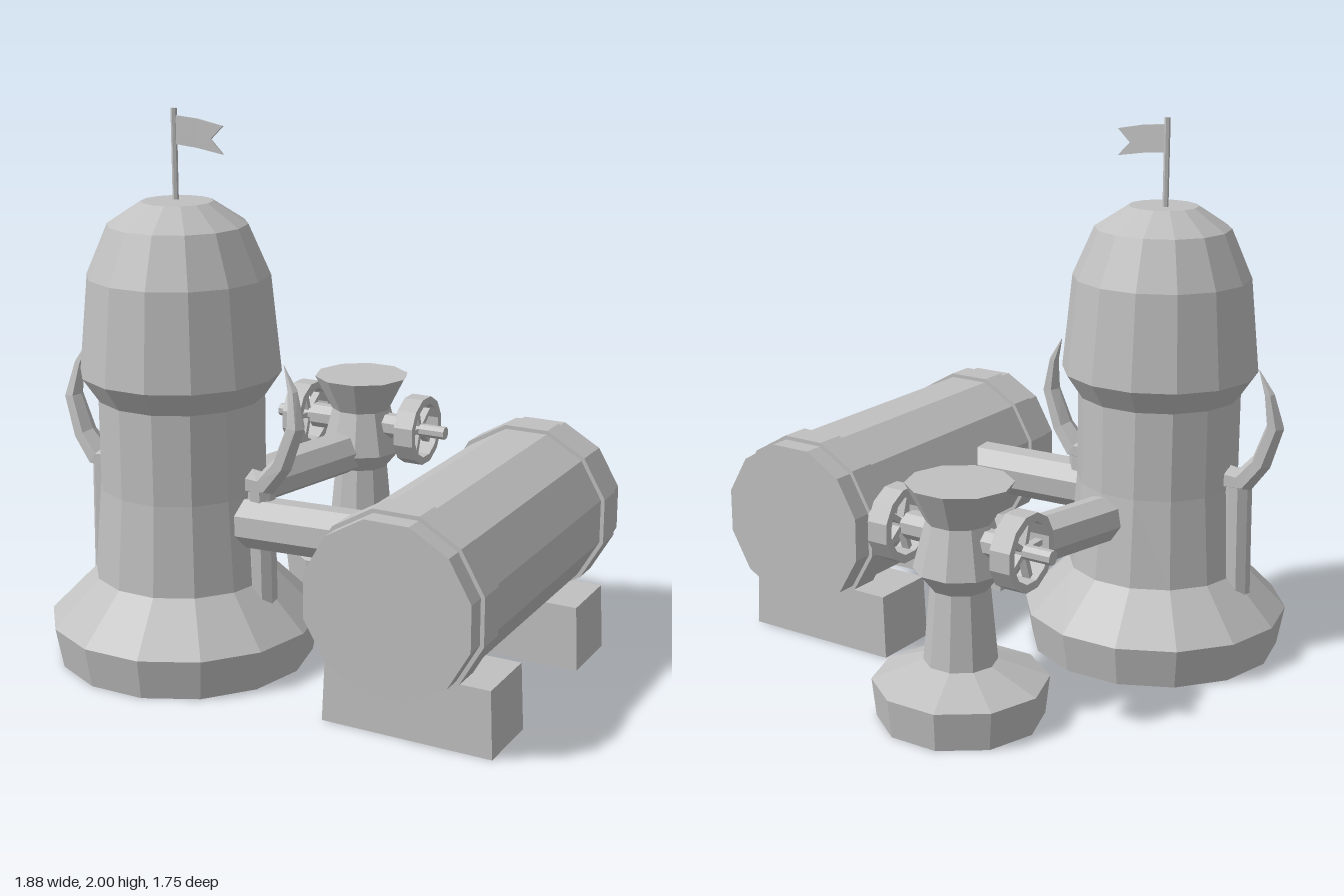
import * as THREE from 'three';

const grey = new THREE.MeshStandardMaterial({ color: 0xc0c0c0, flatShading: true, side: THREE.DoubleSide });
grey.name = 'plain grey';

function add(parent, name, geometry, x = 0, y = 0, z = 0) {
  const mesh = new THREE.Mesh(geometry, grey);
  mesh.name = name;
  mesh.position.set(x, y, z);
  parent.add(mesh);
  return mesh;
}

// Faceted turned shape with a flat side towards +z
function turned(points, sides) {
  const g = new THREE.LatheGeometry(points.map(([r, y]) => new THREE.Vector2(r, y)), sides);
  return g.rotateY(Math.PI / sides);
}

// Straight faceted pipe between two points
function pipe(parent, name, a, b, radius, sides) {
  const p = new THREE.Vector3(...a), q = new THREE.Vector3(...b);
  const dir = q.clone().sub(p);
  const g = new THREE.CylinderGeometry(radius, radius, dir.length(), sides, 1, false, Math.PI / sides);
  const mesh = add(parent, name, g);
  mesh.position.copy(p.add(q).multiplyScalar(0.5));
  mesh.quaternion.setFromUnitVectors(new THREE.Vector3(0, 1, 0), dir.normalize());
  return mesh;
}

// Curved horn lofted through hexagonal sections: [out, y, z, half width, half depth]
function hornGeometry(side) {
  const rows = [
    [0.30, 0.70, 0.395, 0.045, 0.06],
    [0.36, 0.70, 0.395, 0.045, 0.06],
    [0.425, 0.78, 0.395, 0.038, 0.05],
    [0.475, 0.92, 0.39, 0.034, 0.038],
    [0.455, 1.04, 0.375, 0.02, 0.02],
    [0.415, 1.13, 0.365, 0.001, 0.001],
  ];
  const n = 6, pos = [], index = [];
  rows.forEach(([u, y, z, w, d], i) => {
    const a = rows[Math.max(i - 1, 0)], b = rows[Math.min(i + 1, rows.length - 1)];
    const tu = b[0] - a[0], ty = b[1] - a[1], l = Math.hypot(tu, ty);
    for (let k = 0; k < n; k++) {
      const t = (k / n) * Math.PI * 2, c = Math.cos(t) * w;
      pos.push(side * (u + (c * ty) / l), y - (c * tu) / l, z + Math.sin(t) * d);
      if (i) {
        const k2 = (k + 1) % n, p = (i - 1) * n, q = i * n;
        if (side > 0) index.push(p + k, q + k, p + k2, p + k2, q + k, q + k2);
        else index.push(p + k, p + k2, q + k, p + k2, q + k2, q + k);
      }
    }
  });
  const g = new THREE.BufferGeometry();
  g.setAttribute('position', new THREE.Float32BufferAttribute(pos, 3));
  g.setIndex(index);
  g.computeVertexNormals();
  return g;
}

function bigTower() {
  const tower = new THREE.Group();
  tower.name = 'bigTower';
  const cx = -0.435, cz = 0.385;
  // Hollow foot, shaft and dome, open at the bottom
  add(tower, 'towerShell', turned([
    [0.47, 0], [0.498, 0.15], [0.33, 0.32], [0.302, 0.65], [0.302, 0.98],
    [0.363, 1.07], [0.328, 1.42], [0.25, 1.6], [0.128, 1.68], [0, 1.68],
  ], 14), cx, 0, cz);
  // Side pipes and the horns that rise from them
  for (const s of [-1, 1]) {
    pipe(tower, 'sidePipe', [cx + s * 0.345, 0.03, 0.395], [cx + s * 0.335, 0.68, 0.395], 0.05, 8);
    add(tower, 'horn', hornGeometry(s), cx, 0, 0);
  }
  // Flagpole and swallowtail flag
  add(tower, 'flagpole', new THREE.CylinderGeometry(0.011, 0.011, 0.34, 6), -0.455, 1.83, 0.363);
  const flag = new THREE.Shape();
  [[0, 1.975], [0.09, 1.968], [0.195, 1.948], [0.145, 1.9], [0.195, 1.85], [0.09, 1.867], [0, 1.875]]
    .forEach(([x, y], i) => (i ? flag.lineTo(x, y) : flag.moveTo(x, y)));
  add(tower, 'flag', new THREE.ExtrudeGeometry(flag, { depth: 0.008, bevelEnabled: false }), -0.45, 0, 0.358);
  return tower;
}

function smallTower() {
  const tower = new THREE.Group();
  tower.name = 'smallTower';
  tower.position.set(-0.21, 0, -0.585);
  // Foot, neck and flared head
  add(tower, 'smallTowerBody', turned([
    [0, 0], [0.295, 0], [0.311, 0.14], [0.13, 0.21], [0.105, 0.48],
    [0.163, 0.55], [0.118, 0.72], [0.188, 0.855], [0, 0.855],
  ], 10));
  // Valve wheels on their axles
  const axleY = 0.66;
  for (const s of [-1, 1]) {
    pipe(tower, 'axleSleeve', [s * 0.08, axleY, 0], [s * 0.215, axleY, 0], 0.05, 8);
    pipe(tower, 'axle', [s * 0.2, axleY, 0], [s * 0.375, axleY, 0], 0.026, 8);
    const wheel = new THREE.Group();
    wheel.name = 'valveWheel';
    wheel.position.set(s * 0.252, axleY, 0);
    const rim = turned([[0.108, -0.04], [0.138, -0.04], [0.138, 0.04], [0.108, 0.04], [0.108, -0.04]], 12);
    add(wheel, 'wheelRim', rim.rotateZ(Math.PI / 2));
    for (let i = 0; i < 5; i++) {
      const a = (i / 5) * Math.PI * 2 + 0.3;
      const spoke = new THREE.BoxGeometry(0.03, 0.11, 0.02).translate(0, 0.057, 0).rotateX(a);
      add(wheel, 'wheelSpoke', spoke);
    }
    tower.add(wheel);
  }
  return tower;
}

function tank() {
  const group = new THREE.Group();
  group.name = 'tank';
  const lying = (points) => turned(points, 12).rotateX(Math.PI / 2);
  add(group, 'tankBody', lying([[0, -0.49], [0.31, -0.49], [0.31, 0.84], [0, 0.84]]), 0.62, 0.505, 0);
  // Raised bands near both ends
  for (const [a, b] of [[-0.415, -0.305], [0.66, 0.77]])
    add(group, 'tankBand', lying([[0.3, a], [0.325, a], [0.325, b], [0.3, b]]), 0.62, 0.505, 0);
  // Tapered support blocks
  for (const [x, z] of [[0.612, -0.225], [0.624, 0.565]]) {
    const block = new THREE.BoxGeometry(0.63, 0.24, 0.26);
    const p = block.attributes.position;
    for (let i = 0; i < p.count; i++) if (p.getY(i) > 0) p.setXYZ(i, p.getX(i) * 0.965, p.getY(i), p.getZ(i) * 0.98);
    block.computeVertexNormals();
    add(group, 'supportBlock', block, x, 0.12, z);
  }
  return group;
}

export function createModel() {
  const model = new THREE.Group();
  model.name = 'factory';
  model.add(bigTower(), smallTower(), tank());
  // Connecting pipes
  pipe(model, 'tankPipe', [-0.3, 0.55, 0.42], [0.36, 0.555, 0.375], 0.095, 8);
  pipe(model, 'smallTowerPipe', [-0.385, 0.555, 0.16], [-0.225, 0.555, -0.52], 0.088, 8);
  return model;
}
